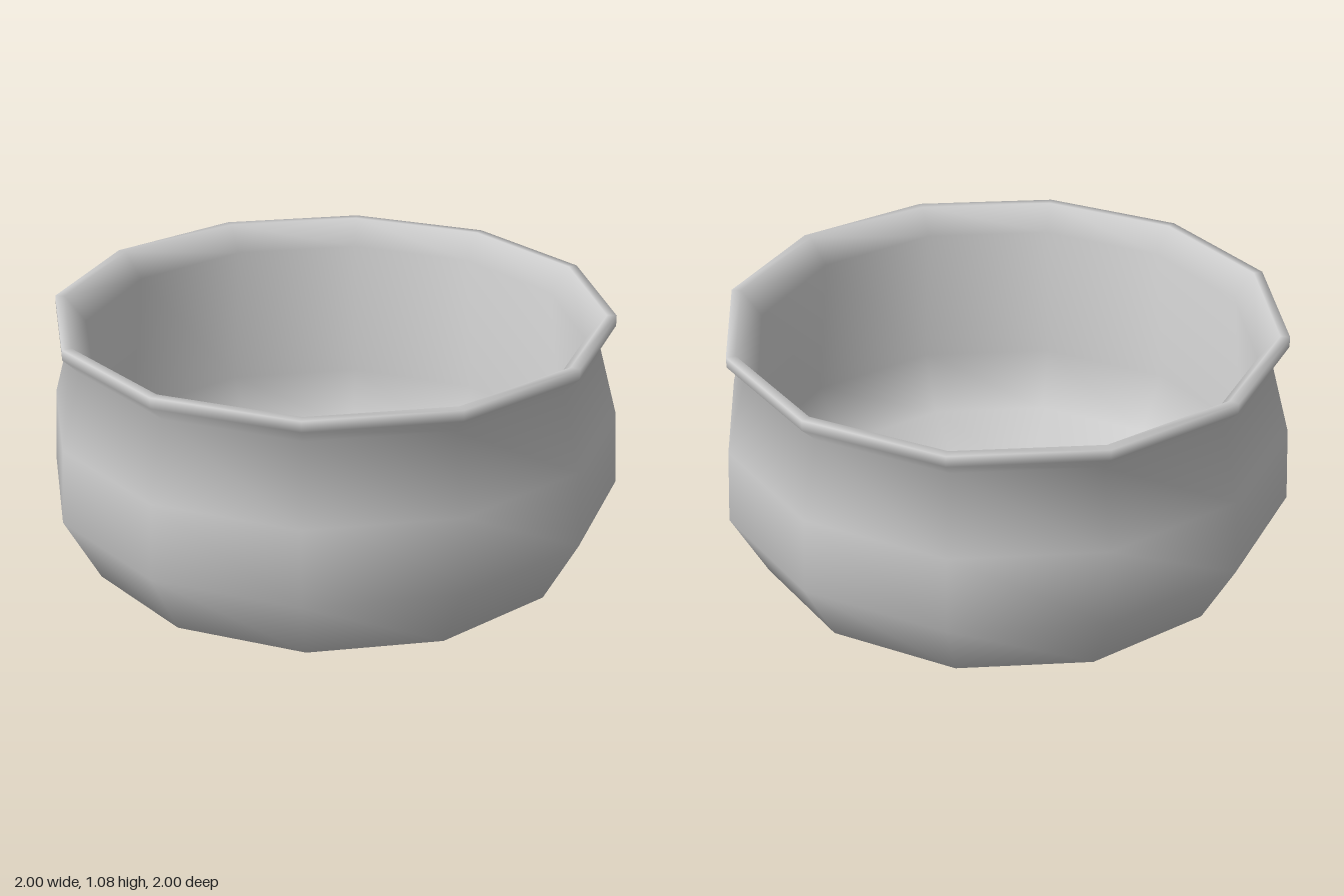
import * as THREE from 'three';

const SIDES = 12;

// Revolves a profile; each ring's normal is the plain average of its two neighbouring bands
function softLathe(profile) {
  const points = profile.map(([r, y]) => new THREE.Vector2(r, y));
  const bands = points.slice(1).map((p, i) => {
    const d = p.clone().sub(points[i]).normalize();
    return new THREE.Vector2(d.y, -d.x);
  });
  const normals = points.map((p, i) => {
    if (p.x === 0) return new THREE.Vector2(0, i === 0 ? -1 : 1);
    return bands[i - 1].clone().add(bands[i]).normalize();
  });

  const geometry = new THREE.LatheGeometry(points, SIDES);
  const attribute = geometry.attributes.normal;
  for (let i = 0; i < attribute.count; i++) {
    const n = normals[i % points.length];
    const angle = Math.floor(i / points.length) * Math.PI * 2 / SIDES;
    attribute.setXYZ(i, n.x * Math.sin(angle), n.y, n.x * Math.cos(angle));
  }
  return geometry;
}

// Twelve-sided bowl with a foot, a bulging wall and a flared rim
export function createModel() {
  const group = new THREE.Group();
  group.name = 'bowlModel';

  const profile = [
    // foot
    [0, 0], [0.405, 0], [0.405, 0.05],
    // outer wall
    [0.6, 0.08], [0.875, 0.22], [1, 0.455], [0.985, 0.72], [0.912, 0.987],
    // flared rim
    [0.968, 1.043], [0.968, 1.08], [0.935, 1.08],
    // inner wall and floor
    [0.865, 0.99], [0.93, 0.45], [0.82, 0.25], [0.5, 0.12], [0, 0.1],
  ];

  const bowl = new THREE.Mesh(
    softLathe(profile),
    new THREE.MeshStandardMaterial({ color: 0xcccccc }),
  );
  bowl.name = 'bowl';
  group.add(bowl);
  return group;
}
